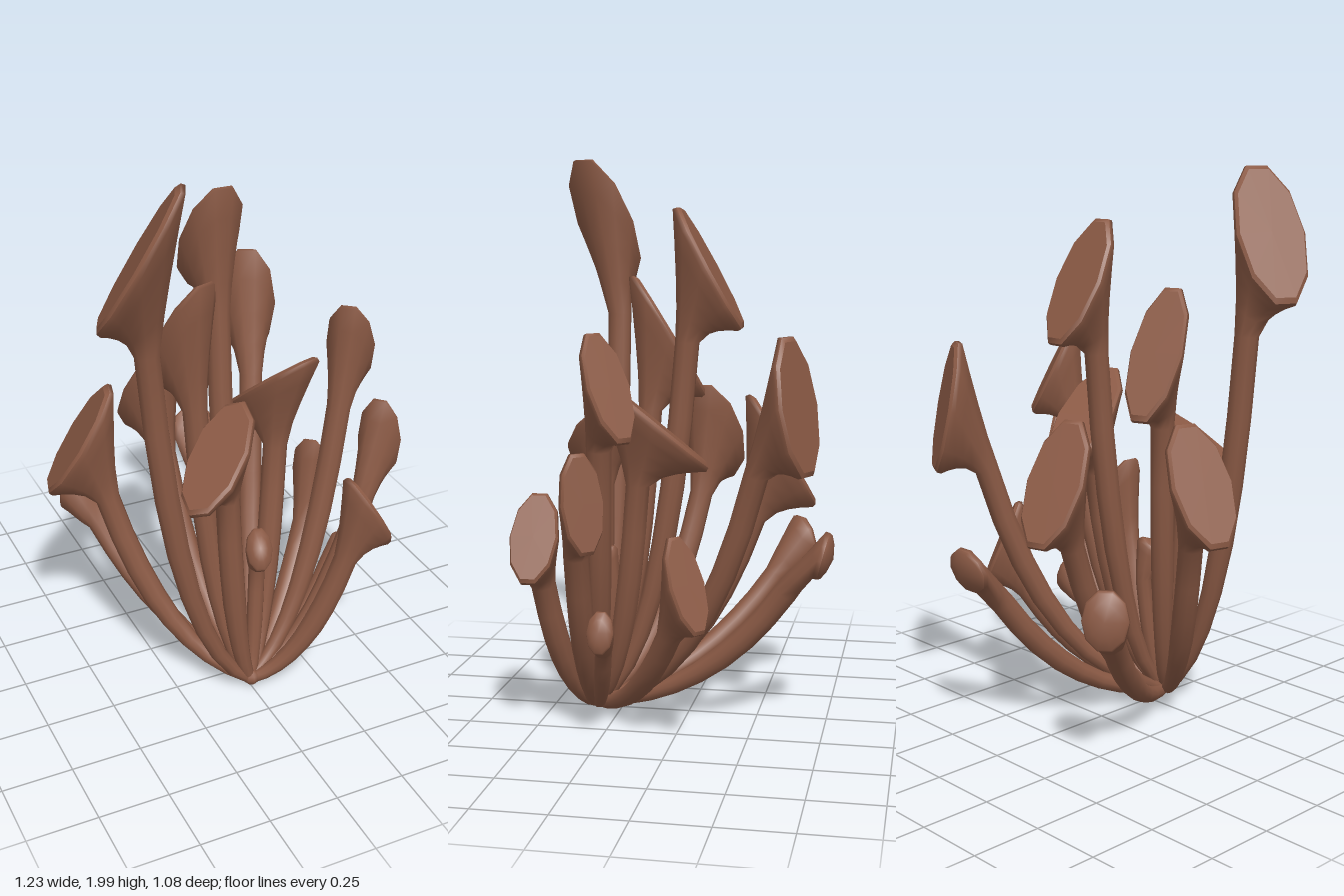
import * as THREE from 'three';

const SIDES = 10;
const V = (a) => new THREE.Vector3(...a);
const ROOT = V([0.005, 0.02, 0.34]);

// Each stalk: c = centre of the mouth, u = half axis from low lip to high lip,
// w = half width across, roll = sideways lean of the mouth, dome = bulge of a
// closed bulb, down = mouth tips below level, neck = where the stem ends
// (worked out from the mouth if not given)
const STALKS = [
  { c: [-0.425, 1.77, 0.395], u: [0.12, 0.23, 0.055], w: 0.13, neck: [-0.375, 1.42, 0.335] },
  { c: [-0.5, 0.97, -0.015], u: [0.11, 0.19, 0.03], w: 0.118 },
  { c: [-0.165, 1.36, 0.10], u: [0.04, 0.22, 0.125], w: 0.1 },
  { c: [-0.14, 1.0, 0.35], u: [0.125, 0.125, -0.12], w: 0.11, roll: 0.04 },
  { c: [0.03, 1.61, -0.085], u: [0, 0.21, 0.115], w: 0.11 },
  { c: [0.19, 1.09, 0.09], u: [0.055, 0.16, 0.185], w: 0.113 },
  { c: [-0.11, 0.96, -0.325], u: [0.03, 0.2, 0.115], w: 0.112 },
  { c: [-0.41, 0.56, -0.375], u: [0.01, 0.1, 0.012], w: 0.08, dome: 0.025 },
  { c: [0.148, 0.63, -0.5], u: [0, 0.078, -0.02], w: 0.09, dome: 0.025, down: true, neck: [0.125, 0.49, -0.36] },
  { c: [0.35, 1.17, -0.425], u: [-0.02, 0.23, 0.038], w: 0.11, neck: [0.3, 0.93, -0.28] },
  { c: [0.46, 1.235, 0.18], u: [-0.055, 0.175, 0.065], w: 0.085 },
  { c: [0.47, 0.59, -0.08], u: [-0.042, 0.155, 0.05], w: 0.073 },
  { c: [0.563, 0.865, 0.245], u: [-0.022, 0.165, 0.02], w: 0.078 },
  { c: [0.402, 0.715, 0.46], u: [-0.083, 0.14, 0], w: 0.085 },
  { c: [0.045, 0.56, 0.315], u: [0.015, 0.06, -0.045], w: 0.048, dome: 0.03 },
  { c: [0.44, 0.405, 0.225], u: [-0.02, 0.07, 0], w: 0.047, dome: 0.02 },
];

// Skin over a list of rings {p, a, b}: centre and two half axes
function loft(rings, tip) {
  const pos = [], idx = [];
  for (const { p, a, b } of rings) {
    for (let j = 0; j < SIDES; j++) {
      const t = ((j + 0.5) / SIDES) * Math.PI * 2;
      const q = p.clone().addScaledVector(a, Math.cos(t)).addScaledVector(b, Math.sin(t));
      pos.push(q.x, q.y, q.z);
    }
  }
  for (let i = 0; i < rings.length - 1; i++) {
    for (let j = 0; j < SIDES; j++) {
      const k = (j + 1) % SIDES, r = i * SIDES, s = r + SIDES;
      idx.push(r + j, r + k, s + k, r + j, s + k, s + j);
    }
  }
  // Optional fan closing the last ring
  if (tip) {
    const last = (rings.length - 1) * SIDES;
    pos.push(tip.x, tip.y, tip.z);
    for (let j = 0; j < SIDES; j++) idx.push(last + j, last + ((j + 1) % SIDES), last + SIDES);
  }
  const g = new THREE.BufferGeometry();
  g.setAttribute('position', new THREE.Float32BufferAttribute(pos, 3));
  g.setIndex(idx);
  g.computeVertexNormals();
  return g;
}

// Default stem end: below and a little behind the mouth
function neckBelow(c, n, drop) {
  const out = c.clone().sub(ROOT).setY(0);
  const neck = c.clone().addScaledVector(n, -0.06).addScaledVector(out, -0.08);
  neck.y -= drop;
  return neck;
}

function makeStalk(spec, material) {
  const c = V(spec.c), u = V(spec.u).multiplyScalar(1.04), dome = spec.dome || 0;

  // Mouth plane, with its normal pointing away from the stalk
  const v = new THREE.Vector3(-u.z, 0, u.x).setLength(spec.w);
  v.y += spec.roll || 0;
  const n = u.clone().cross(v).normalize();
  if ((n.y < 0) !== Boolean(spec.down)) { v.negate(); n.negate(); }

  // Stem that spreads outward near the root, then rises to the neck
  const neck = spec.neck ? V(spec.neck) : neckBelow(c, n, u.y * 1.06);
  const bend = 0.52 + 0.16 * neck.y;
  const ctrl = new THREE.Vector3(
    THREE.MathUtils.lerp(ROOT.x, neck.x, bend),
    THREE.MathUtils.lerp(ROOT.y, neck.y, 0.13),
    THREE.MathUtils.lerp(ROOT.z, neck.z, bend));
  const curve = new THREE.QuadraticBezierCurve3(ROOT, ctrl, neck);

  const neckR = Math.min(0.043, spec.w * 0.62);
  const frame = (t, r) => {
    const T = curve.getTangent(t);
    const a = u.clone().addScaledVector(T, -u.dot(T)).setLength(r);
    return { p: curve.getPoint(t), a, b: T.clone().cross(a).setLength(r) };
  };
  const rings = [];
  for (let i = 0; i <= 8; i++) {
    const t = i / 8;
    rings.push(frame(t, THREE.MathUtils.lerp(0.02, neckR, Math.min(1, t * 1.5))));
  }

  // Flare from the neck to the lip, fuller on the closed bulbs
  const end = rings[rings.length - 1];
  const lip = c.clone().addScaledVector(n, -0.02);
  for (const t of [0.3, 0.55, 0.8, 1]) {
    const s = Math.pow(t, dome ? 0.85 : 1.3);
    rings.push({
      p: end.p.clone().lerp(lip, t),
      a: end.a.clone().lerp(u, s),
      b: end.b.clone().lerp(v, s),
    });
  }

  // Bevelled rim and mouth face
  const scaled = (k, h) => ({
    p: c.clone().addScaledVector(n, h),
    a: u.clone().multiplyScalar(k),
    b: v.clone().multiplyScalar(k),
  });
  const rim = scaled(0.99, -0.005), inner = scaled(0.92, 0.005);
  rings.push(rim);
  const faceRings = dome ? [rim, inner, scaled(0.6, dome * 0.75)] : [inner];

  const group = new THREE.Group();
  group.name = 'stalk';
  const add = (name, geometry) => {
    const mesh = new THREE.Mesh(geometry, material);
    mesh.name = name;
    group.add(mesh);
  };
  add('stemAndTrumpet', loft(rings));
  if (!dome) add('rimBevel', loft([rim, inner]));
  add('mouthFace', loft(faceRings, c.clone().addScaledVector(n, 0.005 + dome)));
  return group;
}

export function createModel() {
  const brown = new THREE.MeshStandardMaterial({ color: 0x8b5a45, side: THREE.DoubleSide });
  brown.name = 'warm brown';
  const model = new THREE.Group();
  model.name = 'trumpetCluster';
  for (const spec of STALKS) model.add(makeStalk(spec, brown));

  // Small root knot where the stalks meet
  const root = new THREE.Mesh(new THREE.SphereGeometry(0.03, 8, 6), brown);
  root.name = 'rootKnot';
  root.position.set(0.005, 0.03, 0.345);
  model.add(root);
  return model;
}
